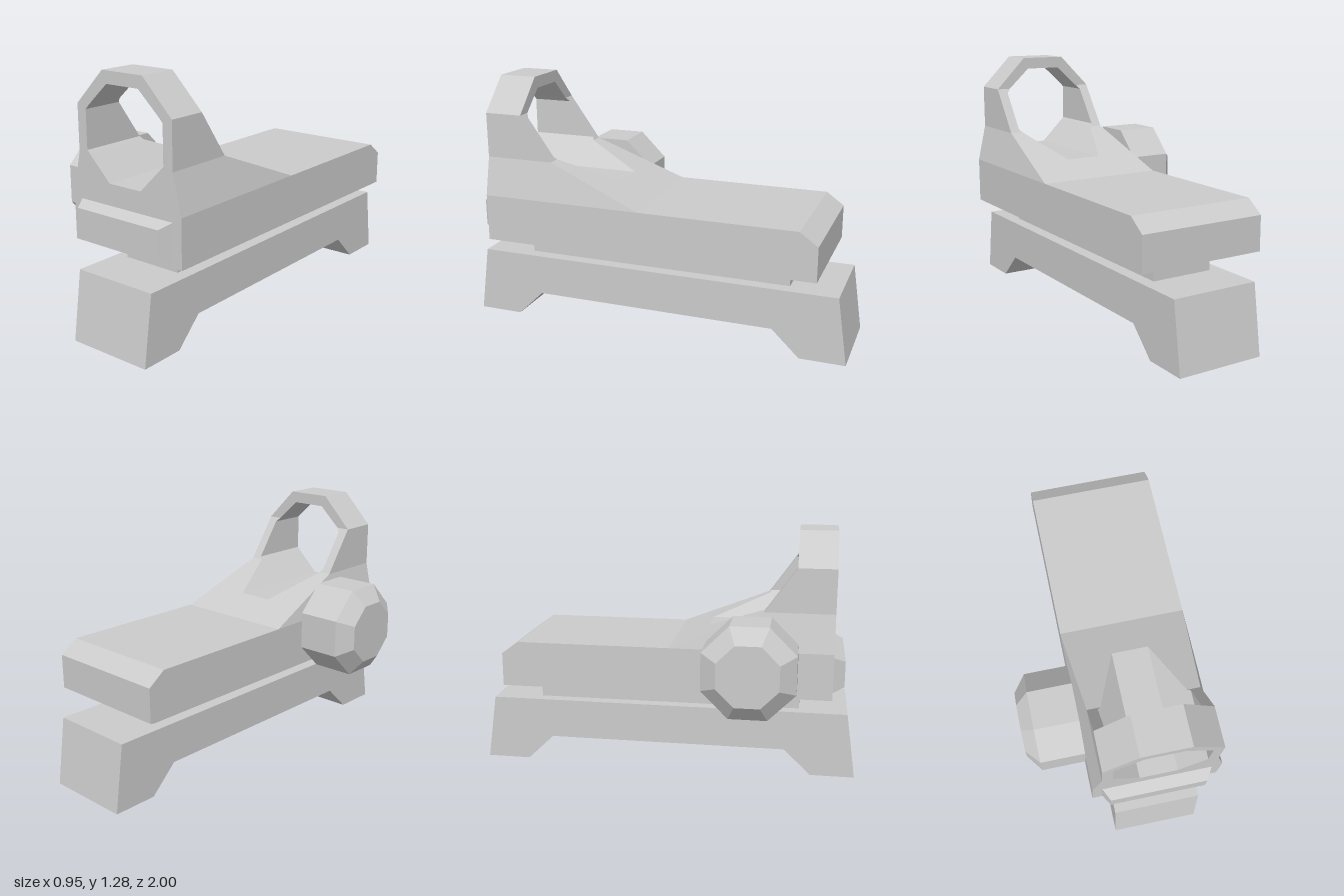
import * as THREE from 'three';

const material = new THREE.MeshStandardMaterial({ color: 0xcccccc, flatShading: true });
const FRONT = 0.865;

function part(name, geometry) {
  const mesh = new THREE.Mesh(geometry, material);
  mesh.name = name;
  return mesh;
}

const shapeOf = (points) => new THREE.Shape(points.map(([a, b]) => new THREE.Vector2(a, b)));

// Extrude a (z, y) side profile across x, centred on x = 0
function sideProfile(points, width) {
  const geometry = new THREE.ExtrudeGeometry(shapeOf(points), { depth: width, bevelEnabled: false });
  geometry.translate(0, 0, -width / 2);
  geometry.rotateY(-Math.PI / 2);
  return geometry;
}

// Extrude a front outline along z, its rear face sloping from [y0, z0] to [y1, z1]
function slopedBand(points, [y0, z0], [y1, z1]) {
  const geometry = new THREE.ExtrudeGeometry(shapeOf(points), { depth: 1, bevelEnabled: false });
  const pos = geometry.attributes.position;
  for (let i = 0; i < pos.count; i++) {
    const t = (pos.getY(i) - y0) / (y1 - y0);
    pos.setZ(i, pos.getZ(i) > 0.5 ? FRONT : z0 + t * (z1 - z0));
  }
  geometry.computeVertexNormals();
  return geometry;
}

// Complete a right-hand half outline with its mirror image
const mirrored = (half) => [...half, ...half.map(([x, y]) => [-x, y]).reverse()];

export function createModel() {
  const group = new THREE.Group();
  group.name = 'sight';

  // Rail clamp with two feet
  group.add(part('base', sideProfile([
    [1, 0], [0.95, 0.345], [-0.95, 0.345], [-1, 0],
    [-0.77, 0], [-0.63, 0.135], [0.63, 0.135], [0.77, 0],
  ], 0.45)));

  // Narrow neck between clamp and body
  const neck = part('neck', new THREE.BoxGeometry(0.32, 0.105, 1.4));
  neck.position.y = 0.3975;
  group.add(neck);

  // Body with a chamfered rear edge
  group.add(part('body', sideProfile([
    [FRONT, 0.45], [FRONT, 0.69], [-0.77, 0.69], [-0.86, 0.625], [-0.86, 0.45],
  ], 0.66)));

  // Hood: floor channel, two posts and top arch around the octagonal opening
  const hood = new THREE.Group();
  hood.name = 'hood';
  hood.add(part('hoodFloor', slopedBand(
    mirrored([[0.33, 0.69], [0.285, 0.885], [0.217, 0.885], [0.095, 0.765]]),
    [0.69, 0.03], [0.885, 0.51])));
  for (const [side, name] of [[1, 'leftPost'], [-1, 'rightPost']]) {
    const outline = [[0.285, 0.885], [0.285, 1.112], [0.212, 1.112], [0.2325, 1.09], [0.2325, 0.9], [0.217, 0.885]];
    hood.add(part(name, slopedBand(outline.map(([x, y]) => [x * side, y]), [0.885, 0.51], [1.112, 0.67])));
  }
  hood.add(part('hoodArch', slopedBand(
    mirrored([[0.212, 1.112], [0.285, 1.112], [0.12, 1.28]])
      .concat([[-0.095, 1.22], [0.095, 1.22]]),
    [1.112, 0.67], [1.28, 0.67])));
  group.add(hood);

  // Raised front panel with bevelled edges
  const panel = new THREE.BoxGeometry(0.56, 0.185, 0.06);
  const pos = panel.attributes.position;
  for (let i = 0; i < pos.count; i++) {
    if (pos.getZ(i) > 0) pos.setXY(i, pos.getX(i) * 0.884, pos.getY(i) * 0.73);
  }
  panel.computeVertexNormals();
  const frontPanel = part('frontPanel', panel);
  frontPanel.position.set(0, 0.5675, FRONT + 0.03);
  group.add(frontPanel);

  // Octagonal adjustment knob on the right side
  const profile = [[0, 0], [0.252, 0], [0.252, 0.225], [0.166, 0.29], [0, 0.29]];
  const knobGeometry = new THREE.LatheGeometry(
    profile.map(([r, h]) => new THREE.Vector2(r, h)), 8, Math.PI / 8);
  knobGeometry.rotateZ(Math.PI / 2);
  const knob = part('knob', knobGeometry);
  knob.position.set(-0.33, 0.638, 0.455);
  group.add(knob);

  // The sight's own middle lies off centre because of the knob
  group.children.forEach((child) => { child.position.x += 0.145; });
  return group;
}
